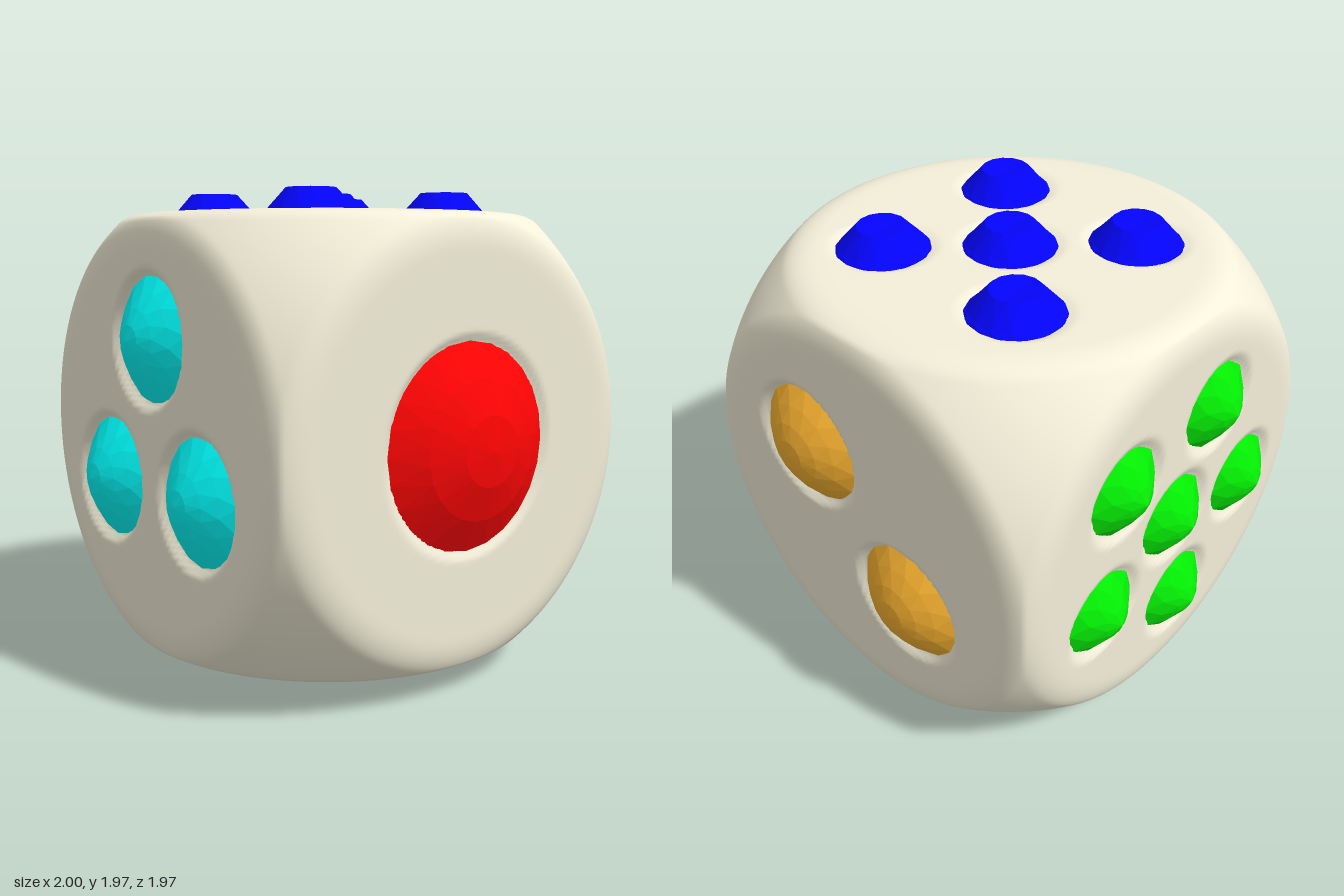
import * as THREE from 'three';
import { mergeVertices } from 'three/addons/utils/BufferGeometryUtils.js';

const HALF = 0.893;   // half edge of the die
const ROUND = 1.228;  // radius of the sphere that rounds off the corners
const UP = new THREE.Vector3(0, 1, 0);
const V = (x, y, z) => new THREE.Vector3(x, y, z);

// Five pips in a ring around a middle one
const ring = [V(0, 0, 0)];
for (let i = 0; i < 5; i++) {
  const a = THREE.MathUtils.degToRad(-9 + 72 * i);
  ring.push(V(0, 0.48 * Math.sin(a), 0.48 * Math.cos(a)));
}

// One entry per face: r rim radius, h height above the face, d depth of the dent,
// bulge 2 for a round dome, nearer 1 for a pointed one
const faces = [
  { name: 'rightOnePip', color: 0xff0404, normal: V(1, 0, 0), r: 0.41, h: 0.127, d: 0.02, bulge: 2, sides: 24, rings: 3,
    at: [V(0, 0, 0)] },
  { name: 'backTwoPip', color: 0xf5b030, normal: V(0, 0, -1), r: 0.26, h: 0.09, d: 0.03, bulge: 2, sides: 15, rings: 4,
    at: [V(0.26, 0.26, 0), V(-0.26, -0.26, 0)] },
  { name: 'frontThreePip', color: 0x00ffff, normal: V(0, 0, 1), r: 0.255, h: 0.09, d: 0.035, bulge: 1.5, sides: 15, rings: 4,
    at: [V(0, 0.395, 0), V(-0.34, -0.195, 0), V(0.34, -0.195, 0)] },
  { name: 'bottomFourPip', color: 0xcc04cc, normal: V(0, -1, 0), r: 0.21, h: 0.092, d: 0.025, bulge: 1.5, sides: 10, rings: 3,
    at: [V(0.305, 0, 0.31), V(-0.305, 0, 0.31), V(0.305, 0, -0.31), V(-0.305, 0, -0.31)] },
  { name: 'topFivePip', color: 0x0404ff, normal: V(0, 1, 0), r: 0.19, d: 0.012, sides: 14,
    profile: [[0.192, -0.012], [0.175, 0.005], [0.1, 0.088], [0, 0.073]],
    at: [V(0, 0, 0), V(0.35, 0, 0.35), V(-0.35, 0, 0.35), V(0.35, 0, -0.35), V(-0.35, 0, -0.35)] },
  { name: 'leftSixPip', color: 0x04ee04, normal: V(-1, 0, 0), r: 0.19, h: 0.088, d: 0.025, bulge: 1.4, sides: 10, rings: 3,
    at: ring },
];

// Profile of a dome, rim to apex
function domeProfile({ r, h, d, bulge, rings }) {
  return Array.from({ length: rings + 1 }, (_, i) => {
    const t = 1 - i / rings;
    return [r * t, h - (h + d) * t ** bulge];
  });
}

// Faceted dome, each ring turned half a step so the facets are triangles
function pipGeometry(face) {
  const profile = face.profile ?? domeProfile(face);
  const geo = new THREE.LatheGeometry(profile.map(p => new THREE.Vector2(...p)), face.sides);
  const pos = geo.attributes.position, v = V(0, 0, 0);
  for (let i = 0; i < pos.count; i++) {
    v.fromBufferAttribute(pos, i).applyAxisAngle(UP, (i % profile.length) * Math.PI / face.sides);
    pos.setXYZ(i, v.x, v.y, v.z);
  }
  return geo;
}

// Cube blended with a sphere, dented around every pip
function bodyGeometry() {
  const N = 92, K = 0.065;
  let geo = new THREE.BoxGeometry(2 * HALF, 2 * HALF, 2 * HALF, N, N, N);
  geo.deleteAttribute('normal');
  geo.deleteAttribute('uv');
  geo = mergeVertices(geo);
  const pos = geo.attributes.position, v = V(0, 0, 0), flat = V(0, 0, 0);
  for (let i = 0; i < pos.count; i++) {
    v.fromBufferAttribute(pos, i);
    const len = v.length();
    const blend = Math.max(K - Math.abs(len - ROUND), 0) / K;
    v.setLength(Math.min(len, ROUND) - blend * blend * K / 4);
    for (const { normal, r, d, at } of faces) {
      const height = v.dot(normal);
      if (height < HALF * 0.9) continue;
      flat.copy(v).addScaledVector(normal, -height);
      const gap = Math.min(...at.map(p => p.distanceTo(flat)));
      v.addScaledVector(normal, -d * (1 - THREE.MathUtils.smoothstep(gap, r - 0.01, r + 0.025)));
    }
    pos.setXYZ(i, v.x, v.y, v.z);
  }
  geo.computeVertexNormals();
  return geo;
}

export function createModel() {
  const die = new THREE.Group();
  die.name = 'die';
  die.position.set(-0.02, 0.985, 0);

  const body = new THREE.Mesh(bodyGeometry(), new THREE.MeshStandardMaterial({ color: 0xf4efd9 }));
  body.name = 'body';
  die.add(body);

  // Pips on all six faces
  for (const face of faces) {
    const geo = pipGeometry(face);
    const mat = new THREE.MeshStandardMaterial({ color: face.color, flatShading: true });
    for (const p of face.at) {
      const pip = new THREE.Mesh(geo, mat);
      pip.name = face.name;
      pip.position.copy(p).addScaledVector(face.normal, HALF);
      pip.quaternion.setFromUnitVectors(UP, face.normal);
      die.add(pip);
    }
  }

  const model = new THREE.Group();
  model.name = 'model';
  model.add(die);
  return model;
}
